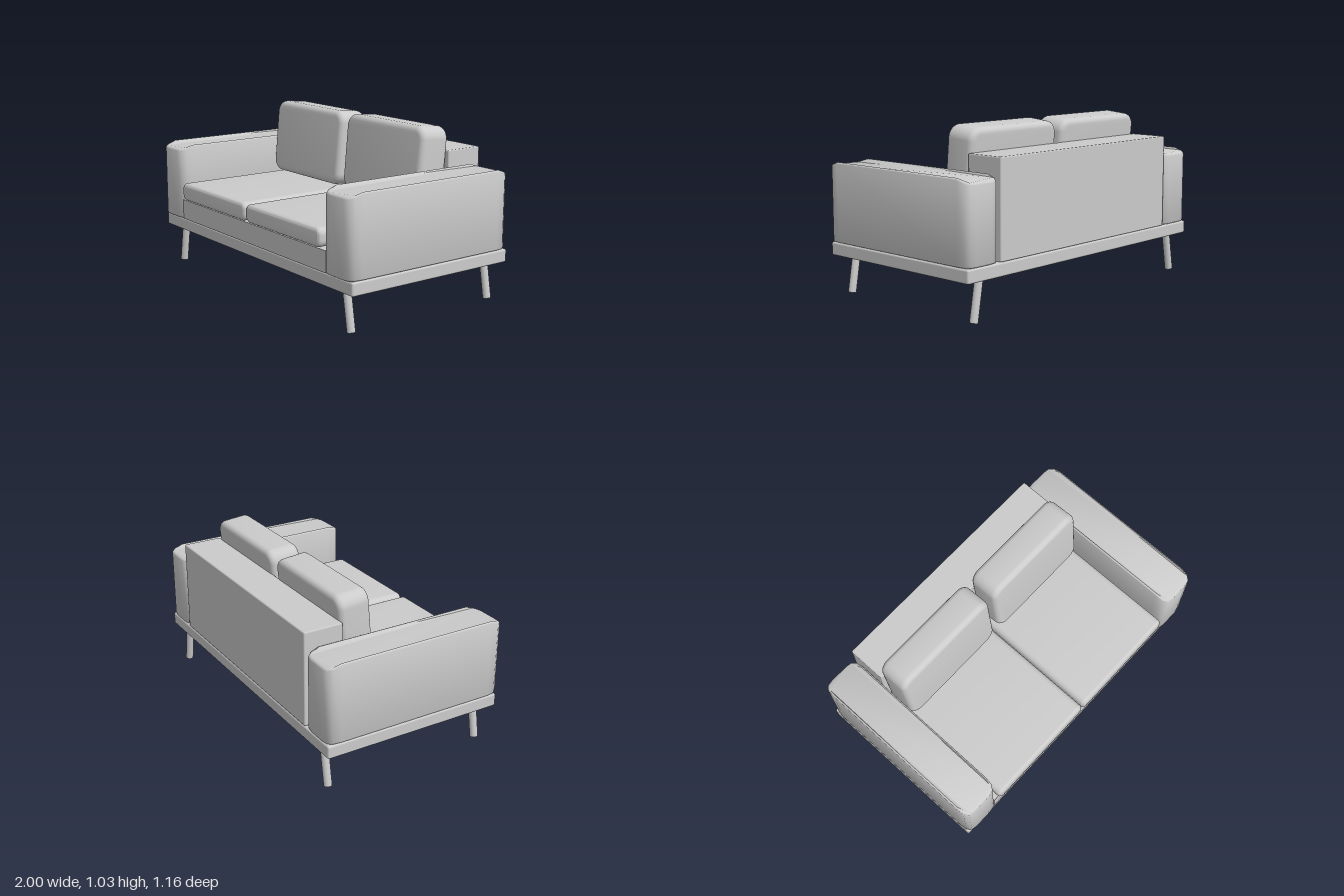
import * as THREE from 'three';
import { toCreasedNormals } from 'three/addons/utils/BufferGeometryUtils.js';
import { RoundedBoxGeometry } from 'three/addons/geometries/RoundedBoxGeometry.js';

const material = new THREE.MeshStandardMaterial({ color: 0xcccccc });

function add(parent, name, geometry, x, y, z) {
  const mesh = new THREE.Mesh(geometry, material);
  mesh.name = name;
  mesh.position.set(x, y, z);
  parent.add(mesh);
  return mesh;
}

// Pillow: rounded rectangle w x h with softened edges, d thick, centred
function pillow(w, h, d, corner, edge) {
  const a = w / 2 - edge, b = h / 2 - edge, r = corner - edge;
  const s = new THREE.Shape();
  s.absarc(a - r, b - r, r, 0, Math.PI / 2);
  s.absarc(-a + r, b - r, r, Math.PI / 2, Math.PI);
  s.absarc(-a + r, -b + r, r, Math.PI, Math.PI * 1.5);
  s.absarc(a - r, -b + r, r, Math.PI * 1.5, Math.PI * 2);
  const g = new THREE.ExtrudeGeometry(s, {
    depth: d - 2 * edge, bevelThickness: edge, bevelSize: edge, bevelSegments: 5, curveSegments: 6,
  });
  g.translate(0, 0, -d / 2 + edge);
  return toCreasedNormals(g, 0.7);
}

// Armrest: plan with soft corners, extruded upward, top sloping down at both ends
function armGeometry(w, h, length) {
  const bevel = 0.01, a = w / 2 - bevel, b = length / 2 - bevel;
  const corner = [[0, 0.075], [0.005, 0.028], [0.022, 0.006], [0.055, 0]];
  const quarter = corner.map(([dx, dz]) => [a - dx, b - dz]);
  const back = [...quarter].reverse();
  const outline = [
    ...quarter,
    ...back.map(([x, z]) => [-x, z]),
    ...quarter.map(([x, z]) => [-x, -z]),
    ...back.map(([x, z]) => [x, -z]),
  ].map(([x, z]) => new THREE.Vector2(x, z));
  const g = new THREE.ExtrudeGeometry(new THREE.Shape(outline), {
    depth: h - 2 * bevel, bevelThickness: bevel, bevelSize: bevel, bevelSegments: 2,
  });
  g.rotateX(-Math.PI / 2);
  g.translate(0, bevel, 0);
  const p = g.attributes.position;
  for (let i = 0; i < p.count; i++) {
    const over = Math.max(0, Math.abs(p.getZ(i)) - (b - 0.075));
    if (p.getY(i) > h / 2) p.setY(i, p.getY(i) - over * 0.32);
  }
  return toCreasedNormals(g, 0.9);
}

export function createModel() {
  const sofa = new THREE.Group();
  sofa.name = 'sofa';

  // Platform, seat frame and backrest
  add(sofa, 'basePlatform', new RoundedBoxGeometry(2, 0.08, 1.137, 2, 0.012), 0, 0.275, -0.012);
  add(sofa, 'seatFrame', new THREE.BoxGeometry(1.54, 0.125, 0.97), 0, 0.3775, 0.077);
  add(sofa, 'backrest', new RoundedBoxGeometry(1.5, 0.57, 0.245, 1, 0.008), 0, 0.6, -0.4575);

  const arm = armGeometry(0.245, 0.475, 1.153);
  const seat = pillow(0.738, 0.112, 0.918, 0.04, 0.022);
  const back = pillow(0.715, 0.465, 0.2, 0.075, 0.035);
  const leg = new THREE.CylinderGeometry(0.024, 0.024, 0.24, 20);

  for (const side of [1, -1]) {
    const label = side > 0 ? 'left' : 'right';
    add(sofa, label + 'Armrest', arm, side * 0.8775, 0.315, -0.004);

    // Seat and leaning back cushion
    add(sofa, label + 'SeatCushion', seat, side * 0.373, 0.502, 0.124);
    add(sofa, label + 'BackCushion', back, side * 0.378, 0.795, -0.235).rotation.x = -0.09;

    // Splayed legs
    for (const [end, z] of [['Front', 0.49], ['Back', -0.525]]) {
      add(sofa, label + end + 'Leg', leg, side * 0.885, 0.122, z).rotation.z = side * 0.17;
    }
  }
  return sofa;
}
